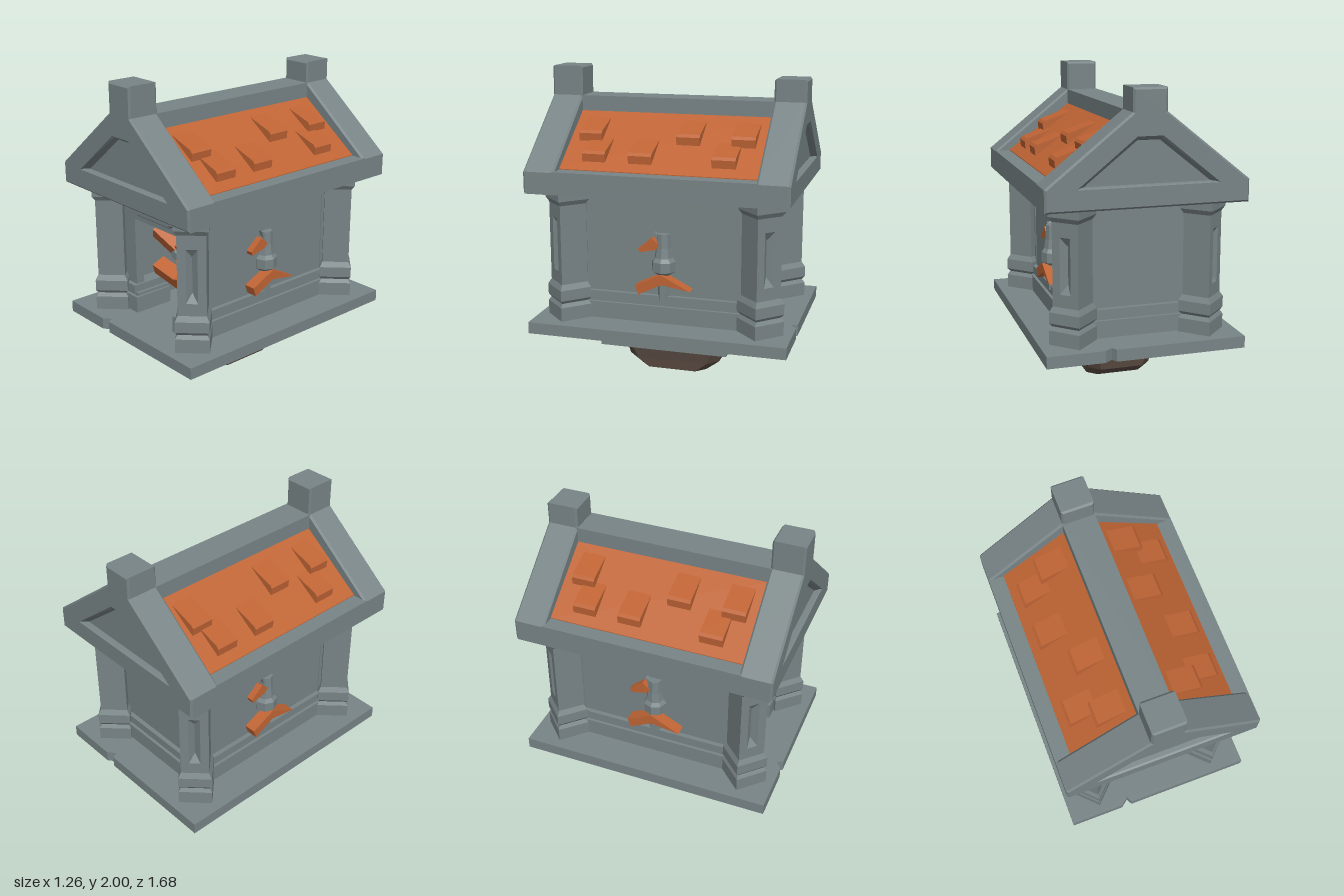
import * as THREE from 'three';

const stone = new THREE.MeshStandardMaterial({ color: 0x788486 });
stone.name = 'stone';
const orange = new THREE.MeshStandardMaterial({ color: 0xbf6434 });
orange.name = 'orange clay';
const brown = new THREE.MeshStandardMaterial({ color: 0x5c4d43 });
brown.name = 'brown rock';

export function createModel() {
  const model = new THREE.Group();
  model.name = 'shrine';

  const add = (name, geo, mat, parent = model) => {
    const mesh = new THREE.Mesh(geo, mat);
    mesh.name = name;
    parent.add(mesh);
    return mesh;
  };
  const flat = (geo) => {
    const g = geo.index ? geo.toNonIndexed() : geo;
    g.computeVertexNormals();
    return g;
  };
  const shapeOf = (pts) => new THREE.Shape(pts.map(([x, y]) => new THREE.Vector2(x, y)));
  const extrude = (shape, depth, z = 0, bevel = 0) =>
    new THREE.ExtrudeGeometry(shape, {
      depth: depth - 2 * bevel, bevelEnabled: bevel > 0, bevelSegments: 1,
      bevelSize: bevel, bevelThickness: bevel, bevelOffset: -bevel,
    }).translate(0, 0, z + bevel);
  // box from its minimum and maximum corners
  const box = (x0, x1, y0, y1, z0, z1) =>
    new THREE.BoxGeometry(x1 - x0, y1 - y0, z1 - z0).translate((x0 + x1) / 2, (y0 + y1) / 2, (z0 + z1) / 2);
  // skin over loops of points, with optional end caps
  const loft = (rings, capStart, capEnd) => {
    const v = [], n = rings[0].length;
    const tri = (a, b, c) => v.push(...a, ...b, ...c);
    for (let k = 0; k + 1 < rings.length; k++) {
      for (let i = 0; i < n; i++) {
        const j = (i + 1) % n, a = rings[k], b = rings[k + 1];
        tri(a[i], a[j], b[j]);
        tri(a[i], b[j], b[i]);
      }
    }
    const s = rings[0], e = rings[rings.length - 1];
    for (let i = 1; i + 1 < n; i++) {
      if (capStart) tri(s[0], s[i + 1], s[i]);
      if (capEnd) tri(e[0], e[i], e[i + 1]);
    }
    const g = new THREE.BufferGeometry();
    g.setAttribute('position', new THREE.Float32BufferAttribute(v, 3));
    return flat(g);
  };
  // octagon with cut corners at height y
  const octagon = (y, hx, hz, cut) => [
    [hx - cut, y, hz], [hx, y, hz - cut], [hx, y, -hz + cut], [hx - cut, y, -hz],
    [-hx + cut, y, -hz], [-hx, y, -hz + cut], [-hx, y, hz - cut], [-hx + cut, y, hz],
  ];

  // foundation
  add('foundationRock', loft([
    octagon(0, 0.2, 0.22, 0.06), octagon(0.065, 0.21, 0.31, 0.07), octagon(0.22, 0.24, 0.34, 0.05),
  ], true, true), brown);
  add('lowerSlab', box(-0.42, 0.415, 0.215, 0.33, -0.42, 0.42), stone);
  const floor = shapeOf([
    [-0.63, -0.84], [-0.27, -0.84], [-0.22, -0.8], [-0.2, -0.84], [0.63, -0.84],
    [0.63, 0.84], [0.27, 0.84], [0.22, 0.8], [0.2, 0.84], [-0.63, 0.84],
  ]);
  add('floorSlab', extrude(floor, 0.075).rotateX(-Math.PI / 2).translate(0, 0.325, 0), stone);

  // walls with a doorway in the front
  const front = shapeOf([
    [-0.38, 0.4], [-0.235, 0.4], [-0.235, 1.04], [0.235, 1.04],
    [0.235, 0.4], [0.38, 0.4], [0.38, 1.25], [-0.38, 1.25],
  ]);
  add('frontWall', extrude(front, 0.06, 0.52), stone);
  add('backWall', box(-0.38, 0.38, 0.4, 1.25, -0.58, -0.52), stone);
  const plaque = shapeOf([
    [-0.16, 1.09], [0.16, 1.09], [0.18, 1.11], [0.18, 1.17],
    [0.16, 1.19], [-0.16, 1.19], [-0.18, 1.17], [-0.18, 1.11],
  ]);
  add('doorPlaque', extrude(plaque, 0.05, 0.57, 0.01), stone);
  for (const [y0, y1, out, inner] of [[0.4, 0.51, 0.04, 0.185], [0.51, 0.53, 0.02, 0.2], [0.53, 0.58, 0.03, 0.22]]) {
    add('backMoulding', box(-0.38, 0.38, y0, y1, -0.58 - out, -0.57), stone);
    for (const s of [-1, 1]) {
      const span = (a, b) => (s > 0 ? [a, b] : [-b, -a]);
      add('sideMoulding', box(...span(0.36, 0.375 + out), y0, y1, -0.56, 0.56), stone);
      add('doorMoulding', box(...span(inner, 0.35), y0, y1, 0.34, 0.58 + out), stone);
    }
  }

  // diagonal corner columns with a grooved outer face
  const lathe = (pts, segments = 4, start = 0, length = Math.PI * 2) =>
    flat(new THREE.LatheGeometry(pts.map(([r, y]) => new THREE.Vector2(r, y)), segments, start, length));
  const r = 0.125, d = r / Math.SQRT2;
  const panel = shapeOf([[-d, 0.64], [d, 0.64], [d, 1.16], [-d, 1.16]]);
  panel.holes.push(new THREE.Path([[-0.036, 0.72], [-0.036, 1.07], [0.036, 1.07], [0.036, 0.72]]
    .map(([x, y]) => new THREE.Vector2(x, y))));
  const groove = loft([
    [[-0.036, 0.72, d], [0.036, 0.72, d], [0.036, 1.07, d], [-0.036, 1.07, d]],
    [[0, 0.78, d - 0.036], [0, 0.78, d - 0.036], [0, 1.01, d - 0.036], [0, 1.01, d - 0.036]],
  ]);
  [[1, 1], [1, -1], [-1, -1], [-1, 1]].forEach(([sx, sz], k) => {
    const column = new THREE.Group();
    column.name = 'cornerColumn';
    column.position.set(sx * 0.415, 0, sz * 0.635);
    column.rotation.y = k * Math.PI / 2;
    model.add(column);
    add('columnBase', lathe([[0.15, 0.4], [0.15, 0.49], [0.13, 0.515], [0.15, 0.535], [0.15, 0.605], [r, 0.64]]), stone, column);
    add('columnCapital', lathe([[r, 1.16], [0.15, 1.19], [0.15, 1.25]]), stone, column);
    add('columnShaft', lathe([[r, 0.64], [r, 1.16]], 3, Math.PI / 2, Math.PI * 1.5), stone, column);
    add('columnPanel', new THREE.ShapeGeometry(panel).translate(0, 0, d).rotateY(Math.PI / 4), stone, column);
    add('columnGroove', groove.clone().rotateY(Math.PI / 4), stone, column);
  });

  // roof body with eaves and ridge beam
  add('roofBody', extrude(shapeOf([
    [-0.63, 1.25], [0.63, 1.25], [0.63, 1.395], [0.53, 1.395], [0.105, 1.705], [0.105, 1.81],
    [-0.105, 1.81], [-0.105, 1.705], [-0.53, 1.395], [-0.63, 1.395],
  ]), 1.3, -0.65), stone);

  // everything here repeats on the other half, turned about the vertical axis
  for (const [turn, top] of [[0, 2], [Math.PI, 1.95]]) {
    const half = new THREE.Group();
    half.name = 'halfShrine';
    half.rotation.y = turn;
    model.add(half);

    // gable with recessed panel and finial post
    const gable = shapeOf([
      [-0.63, 1.25], [0.63, 1.25], [0.63, 1.39], [0.105, 1.81], [0.105, top],
      [-0.105, top], [-0.105, 1.81], [-0.63, 1.39],
    ]);
    const rim = [[-0.425, 1.385], [0.425, 1.385], [0.075, 1.66], [-0.075, 1.66]];
    const bed = [[-0.39, 1.388], [0.39, 1.388], [0.068, 1.645], [-0.068, 1.645]];
    gable.holes.push(new THREE.Path([...rim].reverse().map(([x, y]) => new THREE.Vector2(x, y))));
    add('gable', extrude(gable, 0.205, 0.635, 0.012), stone, half);
    add('gableRecess', loft([rim.map(([x, y]) => [x, y, 0.828]), bed.map(([x, y]) => [x, y, 0.8])], false, true), stone, half);

    // clay roof slope and raised tiles
    add('roofSlope', extrude(shapeOf([
      [0.53, 1.39], [0.53, 1.4], [0.105, 1.712], [0.105, 1.7],
    ]), 1.27, -0.635), orange, half);
    const tile = [[0.145, 1.68], [0.335, 1.55], [0.34, 1.6], [0.325, 1.618]];
    for (const [dx, dy, zs] of [[0, 0, [0.495, -0.145, -0.495]], [0.142, -0.106, [0.425, 0.125, -0.405]]]) {
      for (const z of zs) {
        add('roofTile', extrude(shapeOf(tile.map(([x, y]) => [x + dx, y + dy])), 0.15, z - 0.075), orange, half);
      }
    }

    // side wall and its ornament
    add('sideWall', box(0.32, 0.375, 0.4, 1.25, -0.57, 0.57), stone, half);
    const ornament = new THREE.Group();
    ornament.name = 'sideOrnament';
    ornament.position.x = 0.38;
    half.add(ornament);
    add('ornamentStem', flat(new THREE.CylinderGeometry(0.04, 0.04, 0.2, 6).translate(0, 0.65, 0)), stone, ornament);
    add('ornamentCup', lathe([[0.04, 0.72], [0.078, 0.745], [0.078, 0.81], [0.06, 0.835], [0.05, 0.9], [0.045, 0.99], [0, 0.99]], 8), stone, ornament);
    const side = (pts, depth) => extrude(shapeOf(pts), depth, -depth / 2).rotateY(Math.PI / 2);
    add('ornamentCrest', side([[-0.04, 0.95], [-0.01, 0.93], [0.01, 0.95], [-0.055, 1]], 0.05), stone, ornament);
    add('ornamentSkirt', side([[-0.15, 0.595], [0, 0.67], [0.19, 0.64], [0, 0.735], [-0.17, 0.655]], 0.15), orange, ornament);
    add('ornamentBeak', side([[-0.15, 0.865], [-0.04, 0.89], [-0.02, 0.92], [-0.07, 0.965], [-0.16, 0.89]], 0.08), orange, ornament);
  }

  // hearth and leafy flames inside
  add('hearthBlock', loft([octagon(0.4, 0.18, 0.28, 0.05), octagon(0.58, 0.17, 0.26, 0.05)], true, true), brown);
  const tiers = [[0.55, 0.66, 0.27, 0.3], [0.62, 0.78, 0.3, 0.24], [0.74, 0.9, 0.28, 0.26], [0.87, 1.035, 0.3, 0.28]];
  tiers.forEach(([y0, y1, low, high], i) => {
    const leaf = flat(new THREE.CylinderGeometry(high, low, y1 - y0, 7, 1, false, i * 0.45));
    add('flameTier', leaf.scale(1, 1, 1.35).translate(0, (y0 + y1) / 2, 0), orange);
  });
  for (const [x, y, tilt, w] of [[-0.12, 0.9, -0.5, 0.22], [0.12, 0.9, 0.25, 0.24], [-0.11, 0.66, -0.2, 0.24], [0.11, 0.66, 0.2, 0.24]]) {
    const wedge = add('flameLeaf', extrude(shapeOf([[-w / 2, -0.03], [w / 2, -0.05], [w / 2, 0.03], [-w / 2, 0.05]]), 0.1), orange);
    wedge.position.set(x, y, 0.34);
    wedge.rotation.set(0.4, 0, tilt);
  }
  add('hearthKnob', flat(new THREE.CylinderGeometry(0.03, 0.055, 0.1, 6).rotateX(Math.PI / 2)), stone).position.set(0, 0.82, 0.4);
  return model;
}
